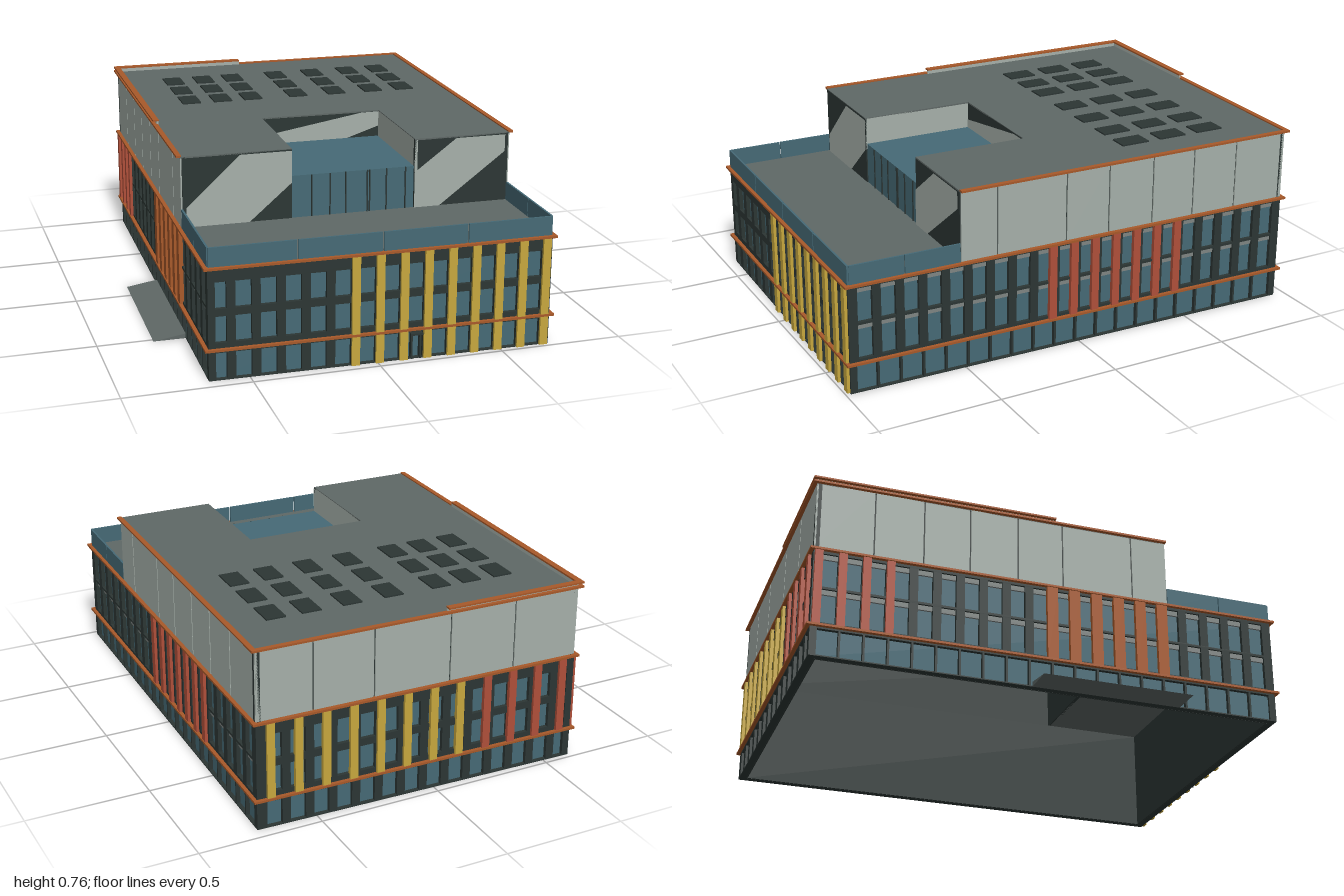
import * as THREE from 'three';

const mat = (color) => new THREE.MeshStandardMaterial({ color, side: THREE.DoubleSide });
const M = {
  dark: mat(0x2c3634), glass: mat(0x466a76), light: mat(0xa6b0aa), roof: mat(0x5f6866),
  orange: mat(0xa8592a), yellow: mat(0xc8a83e), red: mat(0xb0503a), lintel: mat(0x7f8583),
};
const HW = 0.68, HL = 0.965;              // half width and half length of the footprint
const Y1 = 0.12, Y2 = 0.445, Y3 = 0.735;  // ledge, terrace and roof heights
const NX0 = -0.235, NX1 = 0.275, NZ0 = 0.03, FZ = 0.505; // roof notch and upper front

function add(parent, name, geo, material) {
  const m = new THREE.Mesh(geo, material);
  m.name = name;
  parent.add(m);
  return m;
}
// Box given by its lower and upper limits on each axis
function box(parent, name, material, x0, x1, y0, y1, z0, z1) {
  const m = add(parent, name, new THREE.BoxGeometry(x1 - x0, y1 - y0, z1 - z0), material);
  m.position.set((x0 + x1) / 2, (y0 + y1) / 2, (z0 + z1) / 2);
  return m;
}
const poly = (pts) => pts.map(([x, y]) => new THREE.Vector2(x, y));
const rect = (x0, x1, y0, y1) => poly([[x0, y0], [x1, y0], [x1, y1], [x0, y1]]);

// One lower facade: pierced wall, recessed glass, lintels and ledges. Local z points outward.
function facade(parent, name, half, dist, turn, windows, rows, lintels) {
  const g = new THREE.Group();
  g.name = name;
  g.rotation.y = turn;
  g.position.set(Math.sin(turn) * dist, 0, Math.cos(turn) * dist);
  parent.add(g);

  const wall = new THREE.Shape(rect(-half, half, 0, Y2));
  for (const [y0, y1, w] of rows)
    for (const x of windows) wall.holes.push(new THREE.Path(rect(x - w / 2, x + w / 2, y0, y1)));
  add(g, 'piercedWall', new THREE.ExtrudeGeometry(wall, { depth: 0.028, bevelEnabled: false }), M.dark)
    .position.z = -0.028;
  box(g, 'windowGlass', M.glass, -half + 0.02, half - 0.02, 0.002, Y2 - 0.01, -0.02, -0.016);
  box(g, 'innerLining', M.dark, -half + 0.03, half - 0.03, 0, Y2, -0.034, -0.029);
  for (const y of lintels) box(g, 'lintel', M.lintel, -half + 0.02, half - 0.02, y, y + 0.022, -0.018, -0.008);
  for (const y of [Y1, Y2 - 0.004])
    box(g, 'ledge', M.orange, -half - 0.015, half + 0.015, y, y + 0.009, -0.01, 0.015);
  return g;
}

function fins(g, name, material, start, pitch, count, y0, width = 0.032) {
  for (let i = 0; i < count; i++) {
    const x = start + i * pitch;
    box(g, name, material, x - width / 2, x + width / 2, y0, Y2 - 0.005, -0.005, 0.012);
  }
}

// Upper cladding: dark backing with light panels separated by thin joints
function cladding(g, joints) {
  const last = joints.length - 1;
  box(g, 'upperWall', M.dark, joints[0], joints[last], Y2, Y3, -0.02, -0.006);
  for (let i = 0; i < last; i++)
    box(g, 'claddingPanel', M.light, joints[i] + 0.003, joints[i + 1] - 0.003, Y2 + 0.006, Y3, -0.008, 0);
}

export function createModel() {
  const model = new THREE.Group();
  model.name = 'officeBuilding';
  const b = new THREE.Group();
  b.name = 'buildingBody';
  b.position.x = 0.043;
  b.rotation.y = -0.022;
  model.add(b);

  // Lower facades
  const across = Array.from({ length: 14 }, (_, i) => -0.64 + 0.096 * i);
  const along = Array.from({ length: 20 }, (_, i) => (i - 9.5) * 0.0945);
  const endRows = [[0.005, 0.11, 0.062], [0.15, 0.255, 0.062], [0.285, 0.39, 0.062]];
  const sideRows = [[0.005, 0.113, 0.086], [0.14, 0.28, 0.06], [0.29, 0.43, 0.06]];
  const front = facade(b, 'frontFacade', HW, HL, 0, across, endRows, []);
  const back = facade(b, 'backFacade', HW, HL, Math.PI, across.map((x) => -x), endRows, []);
  const right = facade(b, 'plusXFacade', HL, HW, Math.PI / 2, along, sideRows, [0.26, 0.41]);
  const left = facade(b, 'minusXFacade', HL, HW, -Math.PI / 2, along, sideRows, [0.26, 0.41]);

  // Coloured vertical fins
  fins(front, 'yellowFin', M.yellow, -0.112, 0.096, 9, 0.002);
  fins(right, 'redFin', M.red, -0.11, 0.0945, 7, Y1 + 0.01);
  fins(back, 'yellowFin', M.yellow, -0.625, 0.113, 8, Y1 + 0.01);
  fins(back, 'redFin', M.red, 0.285, 0.113, 4, Y1 + 0.01);
  fins(left, 'redFin', M.red, -0.945, 0.0945, 4, Y1 + 0.01);
  fins(left, 'orangeFin', M.orange, 0.0, 0.0945, 6, Y1 + 0.01, 0.045);

  // Entrance frame
  for (const x of [0.11, 0.145, 0.18]) box(front, 'doorPost', M.dark, x, x + 0.007, 0, 0.1, -0.016, 0.004);
  box(front, 'doorHead', M.dark, 0.11, 0.187, 0.095, 0.103, -0.016, 0.004);

  // Upper storey cladding
  cladding(right, [-FZ, -0.35, -0.05, 0.14, 0.34, 0.53, 0.73, HL]);
  cladding(left, [-HL, -0.73, -0.53, -0.34, -0.14, 0.05, 0.35, FZ]);
  cladding(back, [-HW, -0.45, -0.2, 0.12, 0.4, HW]);
  box(b, 'upperFrontWall', M.dark, -HW + 0.01, NX0, Y2, Y3, FZ - 0.015, FZ);
  box(b, 'upperFrontWall', M.dark, NX1, HW - 0.01, Y2, Y3, FZ - 0.015, FZ);
  box(b, 'notchBackWall', M.dark, NX0, NX1, Y2, Y3, NZ0 - 0.015, NZ0);
  box(b, 'notchSideWall', M.light, NX0 - 0.012, NX0, 0.6, Y3, NZ0, FZ);
  box(b, 'notchSideWall', M.light, NX1, NX1 + 0.012, 0.6, Y3, NZ0, FZ);

  // Slanted light panels on the dark front walls
  const slanted = [
    [FZ, [[-0.66, 0.45], [-0.66, 0.53], [-0.445, 0.73], [NX0, 0.73], [NX0, 0.6], [-0.41, 0.45]]],
    [FZ, [[NX1, 0.45], [NX1, 0.6], [0.45, 0.73], [0.66, 0.73], [0.66, 0.66], [0.38, 0.45]]],
    [NZ0, [[NX0, 0.62], [NX0, 0.66], [0.2, 0.732], [NX1, 0.732], [NX1, 0.67], [0.12, 0.62]]],
  ];
  for (const [z, pts] of slanted)
    add(b, 'slantedPanel', new THREE.ShapeGeometry(new THREE.Shape(poly(pts))), M.light).position.z = z + 0.003;

  // Glass room in the notch, with mullions
  box(b, 'glassRoom', M.glass, NX0 + 0.002, NX1 - 0.002, Y2, 0.625, NZ0 + 0.002, FZ - 0.004);
  for (const x of [-0.155, -0.08, -0.015, 0.075, 0.085, 0.155, 0.235])
    box(b, 'glassRoomMullion', M.dark, x, x + 0.005, Y2, 0.625, FZ - 0.005, FZ);

  // Roof with the notch cut out of its front edge
  const roof = new THREE.Shape(poly([
    [-HW, -FZ], [NX0, -FZ], [NX0, -NZ0], [NX1, -NZ0], [NX1, -FZ], [HW, -FZ], [HW, HL], [-HW, HL],
  ]));
  const slab = add(b, 'roof', new THREE.ExtrudeGeometry(roof, { depth: 0.006, bevelEnabled: false }), M.roof);
  slab.rotation.x = -Math.PI / 2;
  slab.position.y = Y3 - 0.003;
  box(b, 'terrace', M.roof, -HW + 0.005, HW - 0.005, Y2, Y2 + 0.007, FZ - 0.01, HL - 0.005);

  // Skylights
  for (const x of [-0.468, -0.33, -0.195, 0.01, 0.185, 0.355, 0.5])
    for (const z of [-0.69, -0.515, -0.34])
      box(b, 'skylight', M.dark, x - 0.04, x + 0.04, Y3, Y3 + 0.009, z - 0.06, z + 0.06);

  // Roof rim and the raised parapet at one back corner
  const R = 0.015;
  box(b, 'roofRim', M.orange, HW - 0.005, HW + R, Y3, Y3 + 0.008, -HL - R, FZ);
  box(b, 'roofRim', M.orange, -HW - R, -HW + 0.005, Y3, Y3 + 0.008, -HL - R, FZ);
  box(b, 'roofRim', M.orange, -HW, HW, Y3, Y3 + 0.008, -HL - R, -HL + 0.005);
  box(b, 'raisedParapet', M.light, -HW, -HW + 0.008, Y3, 0.754, -HL, 0.02);
  box(b, 'raisedParapet', M.light, -HW, -0.1, Y3, 0.754, -HL, -HL + 0.008);
  box(b, 'parapetCap', M.orange, -HW - R, -HW + 0.01, 0.753, 0.76, -HL - R, 0.02);
  box(b, 'parapetCap', M.orange, -HW, -0.1, 0.753, 0.76, -HL - R, -HL + 0.01);

  // Glass balustrade around the terrace
  const cuts = [-HW, -0.337, -0.005, 0.333, HW];
  for (let i = 0; i < 4; i++)
    box(b, 'balustrade', M.glass, cuts[i] + 0.003, cuts[i + 1] - 0.003, Y2, 0.526, HL - 0.008, HL);
  for (const s of [-1, 1])
    for (const [z0, z1] of [[FZ, 0.733], [0.737, HL - 0.008]]) {
      const x = s * (HW - 0.004);
      box(b, 'balustrade', M.glass, x - 0.004, x + 0.004, Y2, 0.526, z0, z1);
    }

  // Sloping ramp beside the building
  const wedge = new THREE.Shape(poly([[-0.81, 0], [-HW, 0], [-HW, 0.02]]));
  add(b, 'ramp', new THREE.ExtrudeGeometry(wedge, { depth: 0.62, bevelEnabled: false }), M.roof)
    .position.z = -0.085;

  return model;
}
